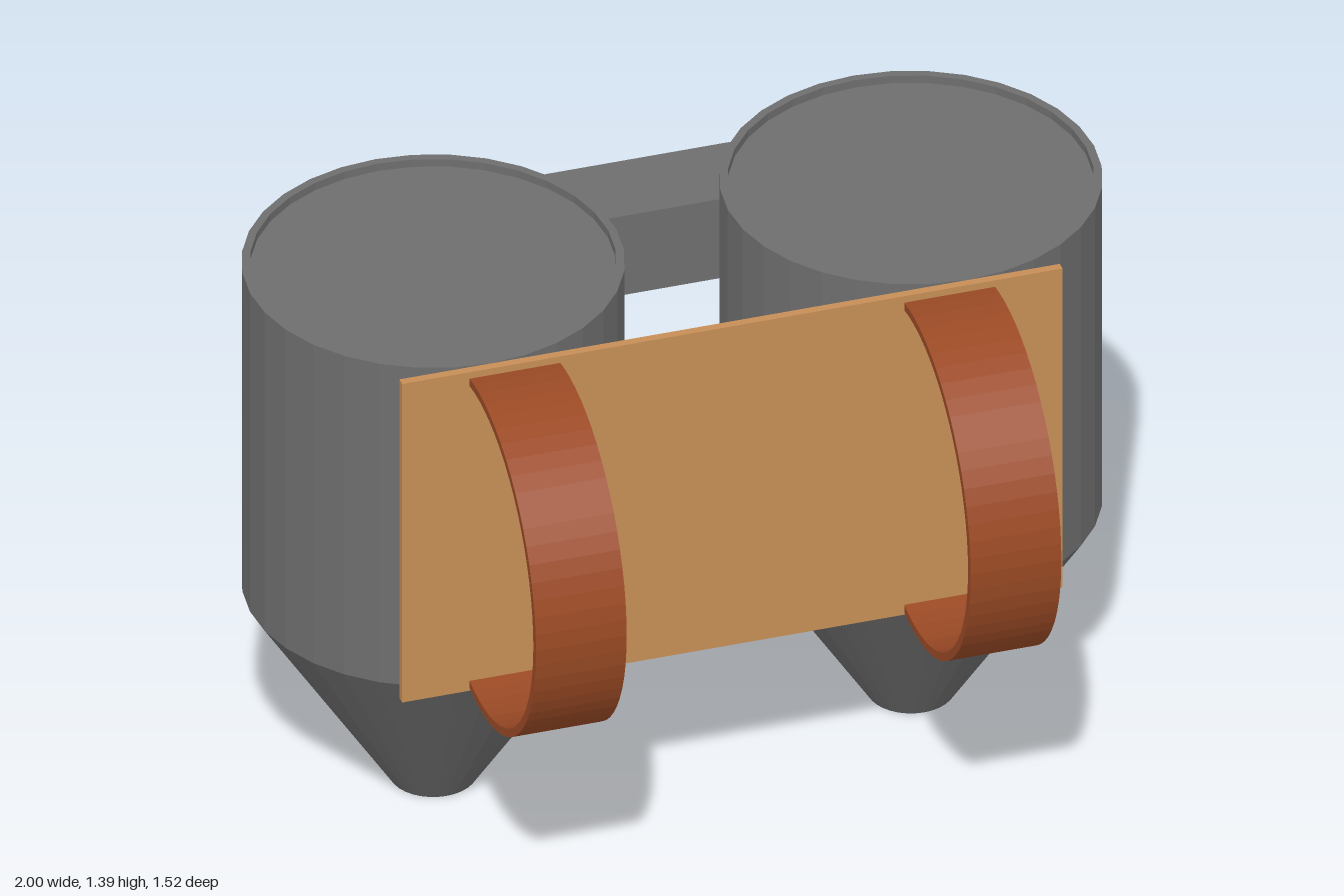
import * as THREE from 'three';

const grey = new THREE.MeshStandardMaterial({ color: 0x6e6e6e });
grey.name = 'tank grey';
const tan = new THREE.MeshStandardMaterial({ color: 0xc68e56 });
tan.name = 'back board tan';
const brown = new THREE.MeshStandardMaterial({ color: 0x9b4a25 });
brown.name = 'strap brown';

function addMesh(parent, name, geometry, material, x, y, z) {
  const mesh = new THREE.Mesh(geometry, material);
  mesh.name = name;
  mesh.position.set(x, y, z);
  parent.add(mesh);
  return mesh;
}

// Faceted tank: nozzle cone, cylinder, thin rim and recessed lid
function tankGeometry() {
  const profile = [
    [0, 0], [0.1, 0], [0.434, 0.525], [0.434, 1.392],
    [0.415, 1.392], [0.415, 1.372], [0, 1.372],
  ].map(([r, y]) => new THREE.Vector2(r, y));
  const geometry = new THREE.LatheGeometry(profile, 32).toNonIndexed();
  geometry.computeVertexNormals();
  return geometry;
}

// Band bent in an open circle, its ends meeting the board
function strapGeometry(width) {
  const end = THREE.MathUtils.degToRad(101);
  const shape = new THREE.Shape();
  shape.absarc(0, 0, 0.428, -end, end, false);
  shape.absarc(0, 0, 0.408, end, -end, true);
  const geometry = new THREE.ExtrudeGeometry(shape, { depth: width, bevelEnabled: false, curveSegments: 18 });
  geometry.translate(0, 0, -width / 2);
  geometry.rotateY(-Math.PI / 2);
  return geometry;
}

// Bridge outline seen from above, with rounded outer corners
function bridgeGeometry() {
  const shape = new THREE.Shape();
  shape.moveTo(-0.63, -0.55);
  shape.lineTo(-0.63, -0.625);
  shape.quadraticCurveTo(-0.52, -0.765, -0.3, -0.765);
  shape.lineTo(0.3, -0.765);
  shape.quadraticCurveTo(0.52, -0.765, 0.63, -0.625);
  shape.lineTo(0.63, -0.55);
  shape.closePath();
  const geometry = new THREE.ExtrudeGeometry(shape, { depth: 0.215, bevelEnabled: false, curveSegments: 8 });
  geometry.rotateX(Math.PI / 2);
  return geometry;
}

export function createModel() {
  const model = new THREE.Group();
  model.name = 'jetpack';

  // Mirrored tanks and shoulder straps
  const tank = tankGeometry();
  const strap = strapGeometry(0.215);
  for (const [side, s] of [['left', 1], ['right', -1]]) {
    addMesh(model, side + 'Tank', tank, grey, s * 0.566, 0, -0.2);
    addMesh(model, side + 'Strap', strap, brown, s * 0.515, 0.953, 0.328);
  }

  // Board in front of the tanks and bridge behind them
  addMesh(model, 'backBoard', new THREE.BoxGeometry(1.565, 0.867, 0.02), tan, 0, 0.9585, 0.245);
  addMesh(model, 'bridge', bridgeGeometry(), grey, 0, 1.178, 0);

  return model;
}
